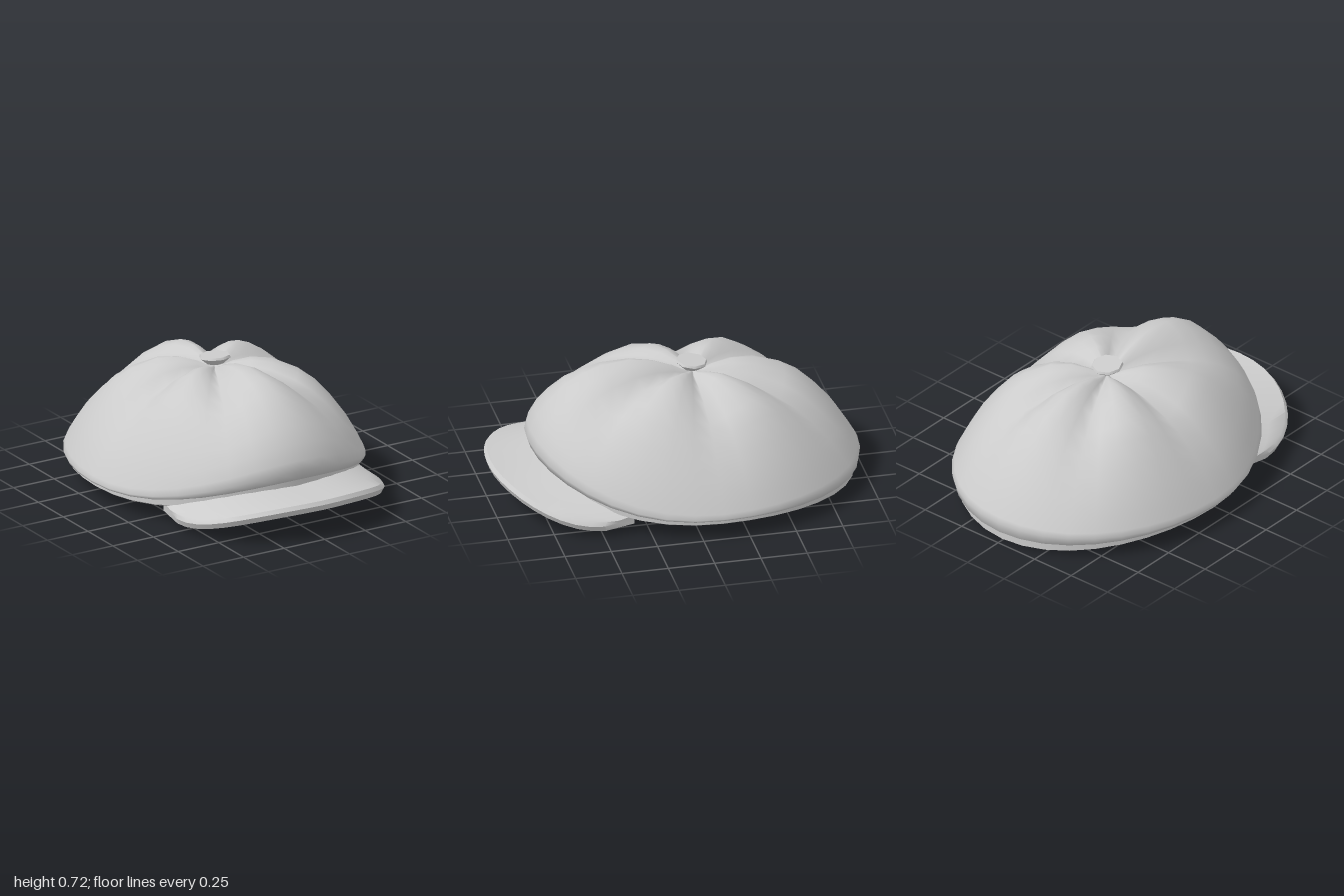
import * as THREE from 'three';
import { toCreasedNormals } from 'three/addons/utils/BufferGeometryUtils.js';

const material = new THREE.MeshStandardMaterial({ color: 0xcccccc, side: THREE.DoubleSide });
const SEGMENTS = 36, HALF_WIDTH = 0.76, HALF_LENGTH = 0.89, CENTRE_Z = -0.11;

// Surface through rows of points; each direction may close on itself
function gridGeometry(rows, closeRows, closeCols) {
  const n = rows.length, m = rows[0].length, index = [];
  for (let i = 0; i < (closeRows ? n : n - 1); i++) {
    for (let j = 0; j < (closeCols ? m : m - 1); j++) {
      const i2 = (i + 1) % n, j2 = (j + 1) % m;
      const a = i * m + j, b = i * m + j2, c = i2 * m + j2, d = i2 * m + j;
      index.push(a, d, c, a, c, b);
    }
  }
  const geometry = new THREE.BufferGeometry().setFromPoints(rows.flat());
  geometry.setIndex(index);
  geometry.computeVertexNormals();
  return geometry;
}

function addMesh(group, name, geometry) {
  const mesh = new THREE.Mesh(geometry, material);
  mesh.name = name;
  group.add(mesh);
  return mesh;
}

const frontWeight = (a) => Math.max(0, Math.cos(a)) ** 2.5;
const backWeight = (a) => Math.max(0, -Math.cos(a)) ** 2;

// Point on the oval plan: t is the share of the radius, a the angle from the front
const ovalPoint = (t, a, y) =>
  new THREE.Vector3(HALF_WIDTH * t * Math.sin(a), y, CENTRE_Z + HALF_LENGTH * t * Math.cos(a));

// One ring around the cap from a rule giving [t, y] at each angle
function ring(rule) {
  return Array.from({ length: SEGMENTS }, (_, j) => {
    const a = (j / SEGMENTS) * Math.PI * 2;
    const [t, y] = rule(a);
    return ovalPoint(t, a, y);
  });
}

// Crown heights: radius share, height at the front, height at the sides and back
const crownProfile = [
  [0, 0.62, 0.62], [0.06, 0.63, 0.625], [0.12, 0.66, 0.645], [0.24, 0.7, 0.665],
  [0.38, 0.72, 0.655], [0.55, 0.705, 0.595], [0.66, 0.67, 0.53], [0.77, 0.615, 0.43],
  [0.87, 0.53, 0.32], [0.94, 0.45, 0.22], [0.985, 0.37, 0.15], [1, 0.315, 0.122],
];

const rimHeight = (a) => THREE.MathUtils.lerp(0.122, 0.315, frontWeight(a));
const tuckHeight = (a) => rimHeight(a) - 0.012 - 0.04 * frontWeight(a) - 0.045 * backWeight(a);
const bandRadius = (a) => 0.965 - 0.03 * frontWeight(a);
const bandBottom = (a) => 0.075 + 0.095 * frontWeight(a) - 0.074 * backWeight(a);

// Six puffed panels: the surface sinks towards each seam
function seamDip(t, a) {
  const panel = a / (Math.PI / 3);
  const offset = Math.abs(panel - Math.round(panel)) * 2;
  return 0.095 * Math.sin(Math.PI * t ** 0.9) * offset ** 1.6;
}

function crownGeometry() {
  const rows = crownProfile.map(([t, front, back]) =>
    ring((a) => [t, THREE.MathUtils.lerp(back, front, frontWeight(a)) - seamDip(t, a)]));
  // Fold under the rim to meet the band
  rows.push(ring((a) => [0.99 - 0.01 * frontWeight(a), tuckHeight(a)]));
  rows.push(ring((a) => [bandRadius(a), tuckHeight(a)]));
  return gridGeometry(rows, false, true);
}

function bandGeometry() {
  const rows = [
    ring((a) => [bandRadius(a), tuckHeight(a) + 0.01]),
    ring((a) => [bandRadius(a), bandBottom(a) + 0.01]),
    ring((a) => [bandRadius(a) - 0.02, bandBottom(a)]),
    ring((a) => [bandRadius(a) - 0.065, bandBottom(a) + 0.005]),
    ring((a) => [bandRadius(a) - 0.075, rimHeight(a) + 0.03]),
  ];
  return toCreasedNormals(gridGeometry(rows, false, true), 0.8);
}

function brimGeometry() {
  const steps = 20;
  const rows = [[], [], [], [], [], []];
  for (let j = 0; j <= steps; j++) {
    const a = (j / steps - 0.5) * Math.PI;
    const x = 0.605 * Math.sin(a);
    const outerZ = 0.5 + 0.495 * Math.cos(a);
    const innerX = x * 0.97;
    const innerZ = CENTRE_Z + 0.82 * Math.sqrt(1 - (innerX / 0.7) ** 2);
    const top = 0.213 - 0.12 * Math.abs(x / 0.605) ** 2.5;
    const innerTop = top + 0.02 * Math.abs(x / 0.605);
    const section = [
      [innerX, innerTop, innerZ],
      [(x + innerX) / 2, (top + innerTop) / 2 - 0.008, (innerZ + outerZ) / 2],
      [x * 0.985, top, outerZ - 0.015],
      [x, top - 0.02, outerZ],
      [x * 0.98, top - 0.052, outerZ - 0.012],
      [innerX, innerTop - 0.05, innerZ],
    ].map((p) => new THREE.Vector3(...p));
    // Close both ends by drawing the section to its middle
    const middle = section.reduce((s, p) => s.add(p), new THREE.Vector3()).divideScalar(6);
    if (j === 0) rows.forEach((row) => row.push(middle));
    rows.forEach((row, k) => row.push(section[k]));
    if (j === steps) rows.forEach((row) => row.push(middle));
  }
  return toCreasedNormals(gridGeometry(rows, true, false), 0.7);
}

export function createModel() {
  const cap = new THREE.Group();
  cap.name = 'flatCap';
  addMesh(cap, 'crown', crownGeometry());
  addMesh(cap, 'band', bandGeometry());
  addMesh(cap, 'brim', brimGeometry());

  // Eight-sided covered button with a tapered underside
  const button = new THREE.Group();
  button.name = 'button';
  const disc = toCreasedNormals(new THREE.CylinderGeometry(0.08, 0.086, 0.012, 8), 0.9);
  addMesh(button, 'buttonTop', disc).position.y = 0.012;
  const stem = new THREE.CylinderGeometry(0.086, 0.045, 0.034, 8);
  addMesh(button, 'buttonUnderside', stem).position.y = -0.011;
  button.position.set(0, 0.662, -0.105);
  button.rotation.x = -0.1;
  cap.add(button);
  return cap;
}
